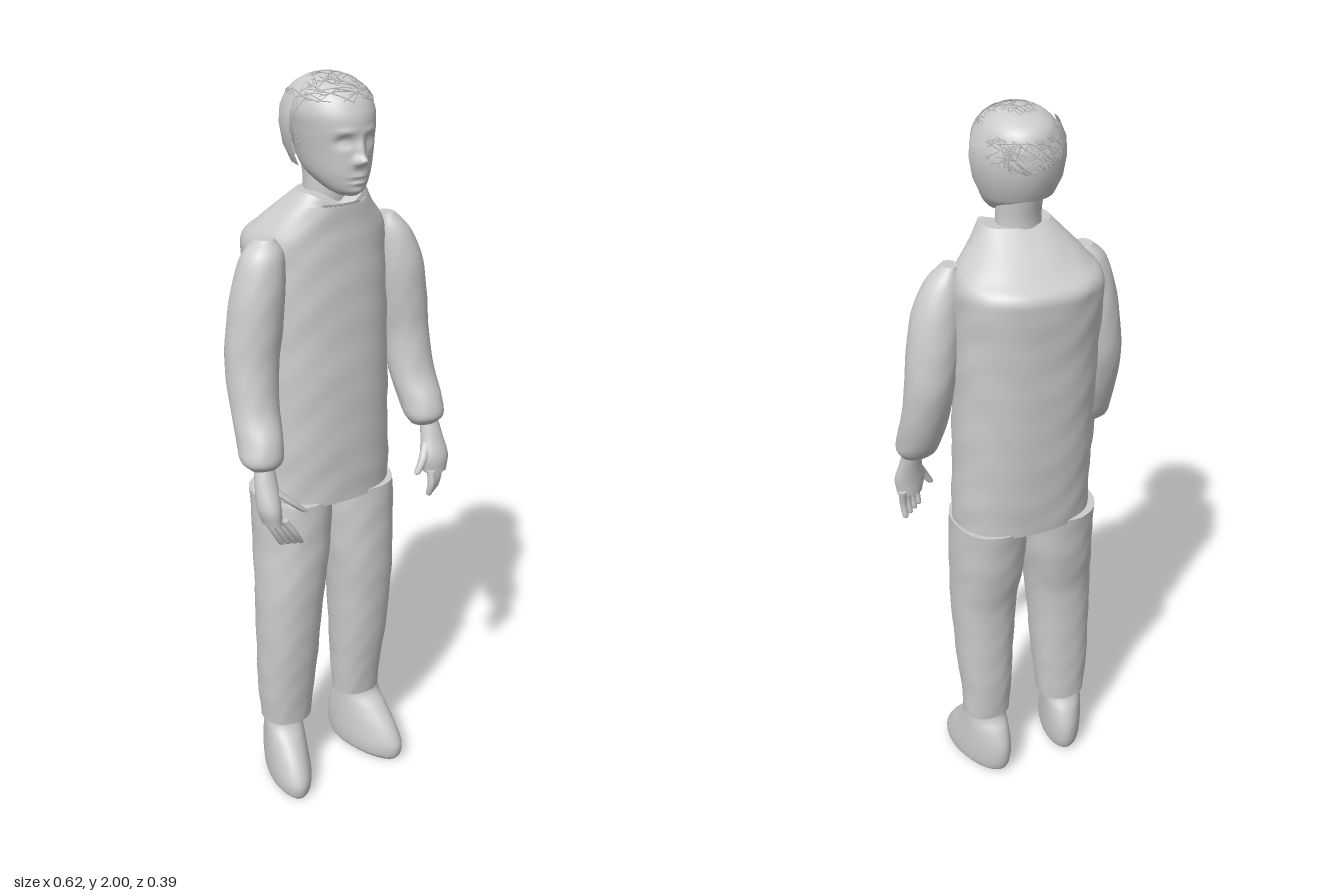
import * as THREE from 'three';

const grey = new THREE.MeshStandardMaterial({ color: 0xcccccc, side: THREE.DoubleSide });
grey.name = 'plain grey';

// Smooth skin over elliptical rings, listed upwards as [x, y, z, radiusX, radiusZ]
function loft(rows, { segs = 32, sub = 6, power = 2, wrinkle = 0, rule = null } = {}) {
  const curve = (pick) => new THREE.CatmullRomCurve3(rows.map(pick), false, 'catmullrom', 0.5);
  const centres = curve((r) => new THREE.Vector3(r[0], r[1], r[2]));
  const radii = curve((r) => new THREE.Vector3(r[3], 0, r[4]));
  const n = (rows.length - 1) * sub, pos = [], idx = [];
  const round = (v) => Math.sign(v) * Math.abs(v) ** (2 / power);
  for (let j = 0; j <= n; j++) {
    const c = centres.getPoint(j / n), r = radii.getPoint(j / n);
    for (let i = 0; i < segs; i++) {
      const a = (i / segs) * Math.PI * 2;
      const w = 1 + wrinkle * Math.sin(c.y * 45 + 2 * Math.sin(a * 3)) * Math.sin(a * 4 + c.y * 13);
      const p = new THREE.Vector3(c.x + r.x * w * round(Math.cos(a)), c.y, c.z + r.z * w * round(Math.sin(a)));
      if (rule) rule(p);
      pos.push(p.x, p.y, p.z);
      if (j < n) {
        const k = j * segs + i, m = j * segs + ((i + 1) % segs);
        idx.push(k, k + segs, m, m, k + segs, m + segs);
      }
    }
  }
  // end caps with their own rings, so the edges stay sharp
  for (const top of [false, true]) {
    const from = top ? n * segs : 0, base = pos.length / 3;
    const mid = [0, 0, 0];
    for (let i = 0; i < segs; i++) {
      for (let k = 0; k < 3; k++) {
        const v = pos[(from + i) * 3 + k];
        pos.push(v);
        mid[k] += v / segs;
      }
    }
    pos.push(...mid);
    for (let i = 0; i < segs; i++) {
      const a = base + i, b = base + ((i + 1) % segs);
      idx.push(base + segs, top ? b : a, top ? a : b);
    }
  }
  const g = new THREE.BufferGeometry();
  g.setAttribute('position', new THREE.Float32BufferAttribute(pos, 3));
  g.setIndex(idx);
  g.computeVertexNormals();
  return g;
}

function add(group, name, geometry) {
  const mesh = new THREE.Mesh(geometry, grey);
  mesh.name = name;
  group.add(mesh);
  return mesh;
}

// Rings given by their extents: [y, left x, right x, back z, front z]
const spans = (rows) => rows.map(([y, x0, x1, z0, z1]) =>
  [(x0 + x1) / 2, y, (z0 + z1) / 2, (x1 - x0) / 2, (z1 - z0) / 2]);

function buildTorso(group) {
  add(group, 'jacket', loft(spans([
    [0.89, -0.182, 0.198, -0.138, 0.12],
    [1.0, -0.182, 0.196, -0.15, 0.122],
    [1.2, -0.182, 0.192, -0.165, 0.122],
    [1.4, -0.186, 0.19, -0.177, 0.115],
    [1.54, -0.19, 0.19, -0.189, 0.108],
    [1.595, -0.185, 0.187, -0.19, 0.103],
    [1.63, -0.165, 0.17, -0.145, 0.1],
    [1.68, -0.12, 0.125, -0.088, 0.1],
    [1.72, -0.085, 0.095, -0.04, 0.095],
  ]), {
    segs: 56, power: 2.3, wrinkle: 0.012,
    // dip the front of the collar into a V
    rule: (p) => { if (p.y > 1.7 && p.z > 0.03) p.y -= 0.045 * Math.max(0, 1 - Math.abs(p.x) / 0.08); },
  }));
  add(group, 'neck', loft(spans([
    [1.62, -0.065, 0.065, -0.06, 0.065],
    [1.72, -0.055, 0.058, -0.045, 0.07],
    [1.8, -0.055, 0.055, -0.06, 0.07],
  ])));
}

function buildHead(group) {
  // soft dents and bulges of the face: [x, y, radiusX, radiusY, depth]
  const bumps = [
    [0, 1.812, 0.014, 0.011, 0.026], [0, 1.835, 0.009, 0.02, 0.014],
    [0, 1.772, 0.024, 0.005, 0.006], [0, 1.757, 0.02, 0.005, 0.006],
    [0, 1.735, 0.02, 0.01, 0.005], [0, 1.764, 0.026, 0.003, -0.005],
  ];
  for (const s of [-1, 1]) {
    bumps.push([s * 0.036, 1.855, 0.018, 0.012, -0.016], [s * 0.036, 1.853, 0.011, 0.006, 0.008],
      [s * 0.036, 1.88, 0.022, 0.006, 0.004], [s * 0.013, 1.807, 0.007, 0.007, 0.007]);
  }
  add(group, 'head', loft(spans([
    [1.722, -0.025, 0.025, 0.07, 0.14],
    [1.738, -0.048, 0.048, 0.03, 0.155],
    [1.775, -0.073, 0.074, -0.045, 0.162],
    [1.83, -0.087, 0.089, -0.075, 0.163],
    [1.88, -0.097, 0.096, -0.088, 0.165],
    [1.92, -0.102, 0.099, -0.09, 0.158],
    [1.96, -0.09, 0.084, -0.075, 0.132],
    [1.985, -0.062, 0.054, -0.035, 0.09],
    [1.997, -0.02, 0.015, 0.01, 0.045],
  ]), {
    segs: 96, sub: 8,
    rule: (p) => {
      if (p.z < 0.06) return;
      let d = 0;
      for (const [x, y, rx, ry, depth] of bumps) {
        d += depth * Math.exp(-(((p.x - x) / rx) ** 2) - ((p.y - y) / ry) ** 2);
      }
      p.z += d;
    },
  }));
}

function buildHair(group) {
  // half shell around the sides and back of the head
  const profile = [[0.78, 1.79], [0.93, 1.83], [1, 1.88], [0.98, 1.92], [0.86, 1.955]]
    .map(([r, y]) => new THREE.Vector2(r, y));
  const band = add(group, 'hairBand', new THREE.LatheGeometry(profile, 32, Math.PI / 2, Math.PI));
  band.scale.set(0.12, 1, 0.143);
  band.position.set(-0.007, 0, 0.05);

  // loose strands crossing over the scalp
  let seed = 7;
  const rand = () => (seed = (seed * 16807) % 2147483647) / 2147483647;
  const size = new THREE.Vector3(0.11, 0.099, 0.131);
  const onScalp = (d) => d.y > -0.75 && !(d.z > 0.15 && d.y < 0.38);
  const randomDir = () => new THREE.Vector3(rand() * 2 - 1, rand() * 2 - 1, rand() * 2 - 1).normalize();
  const hair = new THREE.Group();
  hair.name = 'hairStrands';
  group.add(hair);
  for (let i = 0; i < 260; i++) {
    let a, b;
    do {
      a = randomDir();
      b = a.clone().addScaledVector(randomDir(), 0.75).normalize();
    } while (!onScalp(a) || !onScalp(b));
    const points = [0, 0.33, 0.67, 1].map((t) => a.clone().lerp(b, t).normalize()
      .multiply(size).add(new THREE.Vector3(-0.004, 1.9, 0.034)));
    add(hair, 'strand', new THREE.TubeGeometry(new THREE.CatmullRomCurve3(points), 6, 0.0014, 3));
  }
}

function buildArms(group) {
  add(group, 'leftSleeve', loft(spans([
    [1.06, 0.215, 0.295, 0.085, 0.145],
    [1.085, 0.2, 0.31, 0.055, 0.165],
    [1.13, 0.195, 0.312, 0.025, 0.155],
    [1.2, 0.185, 0.31, -0.005, 0.12],
    [1.3, 0.178, 0.305, -0.035, 0.102],
    [1.4, 0.16, 0.297, -0.042, 0.1],
    [1.5, 0.15, 0.28, -0.035, 0.098],
    [1.58, 0.15, 0.245, -0.02, 0.08],
    [1.63, 0.16, 0.2, 0.0, 0.052],
  ]), { wrinkle: 0.012 }));
  add(group, 'rightSleeve', loft(spans([
    [1.055, -0.29, -0.215, 0.085, 0.145],
    [1.08, -0.312, -0.2, 0.055, 0.165],
    [1.13, -0.308, -0.192, 0.025, 0.155],
    [1.2, -0.305, -0.18, -0.005, 0.12],
    [1.3, -0.302, -0.165, -0.035, 0.102],
    [1.4, -0.293, -0.15, -0.042, 0.1],
    [1.5, -0.276, -0.142, -0.035, 0.098],
    [1.58, -0.25, -0.143, -0.02, 0.085],
    [1.62, -0.212, -0.165, 0.005, 0.055],
  ]), { wrinkle: 0.012 }));
}

function buildHand(group, name, palm, knuckles, tips, thumb) {
  const hand = new THREE.Group();
  hand.name = name;
  group.add(hand);
  // finger: tapering rod from tip to root, bowed a little outwards
  const finger = (part, tip, root, r) => {
    const at = (t, bow = 0) => tip.map((v, k) => v + (root[k] - v) * t + (k === 2 ? bow : 0));
    add(hand, part, loft([[...at(0), r * 0.3, r * 0.3], [...at(0.08), r * 0.8, r * 0.8],
      [...at(0.5, 0.006), r, r], [...at(1), r * 1.1, r * 1.1]], { segs: 10, sub: 4 }));
  };
  add(hand, 'palm', loft(palm, { segs: 24 }));
  for (let i = 0; i < 4; i++) {
    const along = ([a, b]) => a.map((v, k) => v + (b[k] - v) * i / 3);
    finger('finger', along(tips), along(knuckles), 0.0105);
  }
  finger('thumb', thumb[0], thumb[1], 0.012);
}

function buildLegs(group) {
  add(group, 'leftTrouser', loft(spans([
    [0.2, 0.042, 0.178, -0.05, 0.066],
    [0.3, 0.036, 0.182, -0.06, 0.08],
    [0.4, 0.03, 0.19, -0.065, 0.096],
    [0.6, 0.018, 0.2, -0.076, 0.114],
    [0.75, 0.004, 0.203, -0.108, 0.12],
    [0.9, -0.002, 0.203, -0.132, 0.118],
  ]), { wrinkle: 0.015, power: 2.2 }));
  add(group, 'rightTrouser', loft(spans([
    [0.195, -0.203, -0.062, -0.058, 0.075],
    [0.3, -0.212, -0.052, -0.062, 0.086],
    [0.4, -0.215, -0.045, -0.066, 0.098],
    [0.6, -0.215, -0.03, -0.076, 0.114],
    [0.75, -0.205, -0.008, -0.108, 0.12],
    [0.9, -0.2, 0.002, -0.132, 0.118],
  ]), { wrinkle: 0.015, power: 2.2 }));

  // boots, turned out towards the toes
  for (const [name, s, x] of [['leftBoot', 1, 0.116], ['rightBoot', -1, 0.14]]) {
    add(group, name, loft(spans([
      [0, -0.045, 0.045, -0.062, 0.16],
      [0.015, -0.058, 0.058, -0.078, 0.169],
      [0.05, -0.062, 0.062, -0.089, 0.17],
      [0.1, -0.061, 0.061, -0.09, 0.142],
      [0.15, -0.059, 0.059, -0.074, 0.1],
      [0.19, -0.058, 0.058, -0.048, 0.064],
      [0.24, -0.056, 0.056, -0.045, 0.06],
    ]), { rule: (p) => { p.x += s * (x + 0.22 * p.z); } }));
  }
}

export function createModel() {
  const model = new THREE.Group();
  model.name = 'standingMan';
  buildTorso(model);
  buildHead(model);
  buildHair(model);
  buildArms(model);
  buildHand(model, 'leftHand',
    [[0.266, 0.925, 0.153, 0.035, 0.026], [0.265, 0.97, 0.15, 0.042, 0.029],
      [0.266, 1.02, 0.135, 0.032, 0.026], [0.265, 1.08, 0.115, 0.024, 0.024]],
    [[0.24, 0.935, 0.172], [0.294, 0.94, 0.132]],
    [[0.235, 0.862, 0.172], [0.288, 0.855, 0.132]],
    [[0.2, 0.93, 0.162], [0.245, 1.01, 0.14]]);
  buildHand(model, 'rightHand',
    [[-0.255, 0.915, 0.153, 0.024, 0.034], [-0.262, 0.96, 0.15, 0.03, 0.037],
      [-0.26, 1.02, 0.135, 0.03, 0.027], [-0.256, 1.08, 0.115, 0.024, 0.024]],
    [[-0.235, 0.925, 0.178], [-0.265, 0.925, 0.128]],
    [[-0.183, 0.845, 0.178], [-0.215, 0.83, 0.135]],
    [[-0.168, 0.93, 0.175], [-0.245, 1.0, 0.15]]);
  buildLegs(model);
  return model;
}
